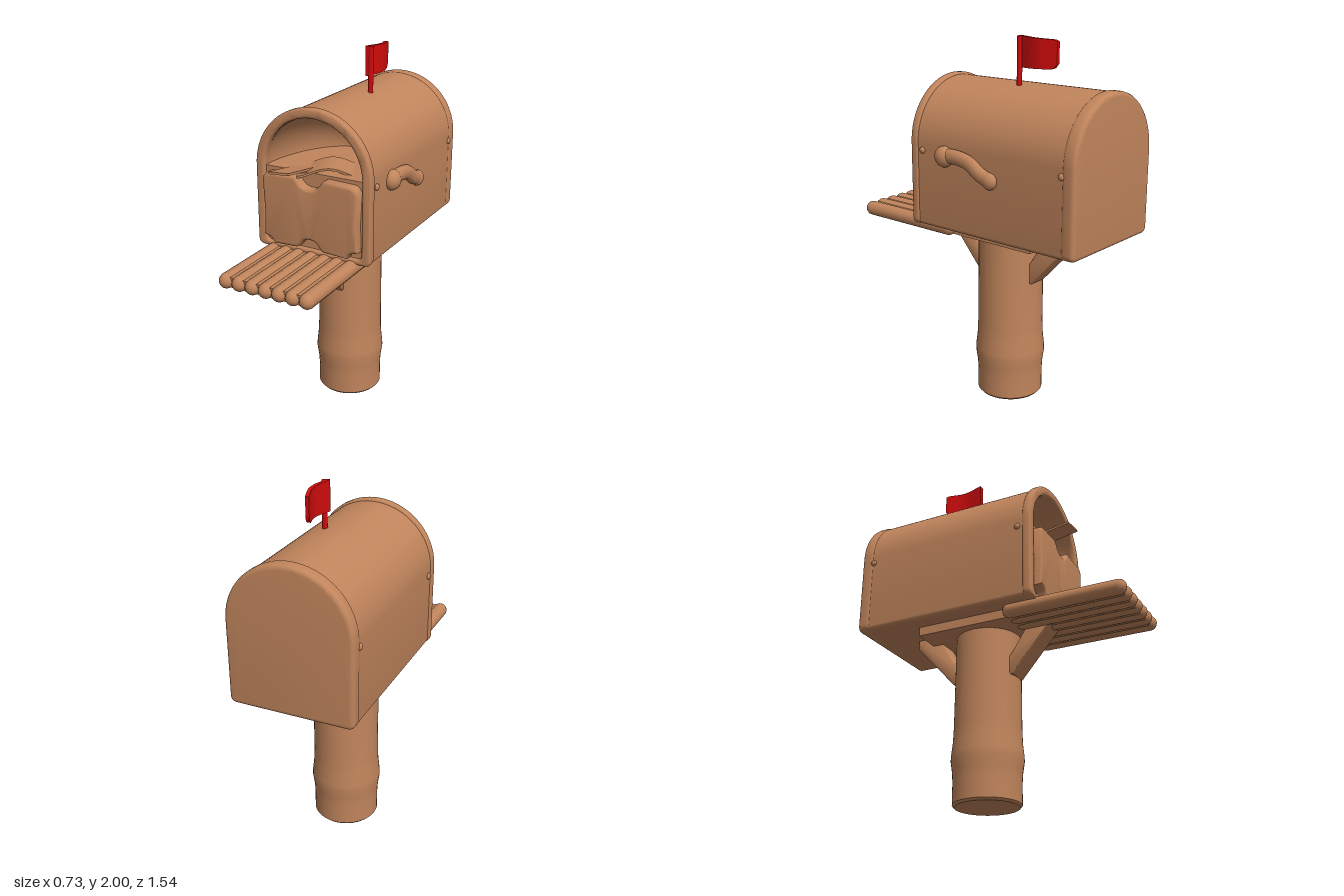
import * as THREE from 'three';
import { toCreasedNormals } from 'three/addons/utils/BufferGeometryUtils.js';

const CX = -0.022; // centre line of box and post

const brown = new THREE.MeshStandardMaterial({ color: 0xc1855c, side: THREE.DoubleSide });
brown.name = 'clay brown';
const red = new THREE.MeshStandardMaterial({ color: 0xd00c0c });
red.name = 'flag red';

// Round-topped outline: half width, bottom, spring line, top, corner radius
function arch(Type, w, bottom, spring, top, r) {
  const s = new Type();
  s.moveTo(-w + r, bottom);
  s.lineTo(w - r, bottom);
  s.quadraticCurveTo(w, bottom, w, bottom + r);
  s.lineTo(w, spring);
  s.absellipse(0, spring, w, top - spring, 0, Math.PI, false);
  s.lineTo(-w, bottom + r);
  s.quadraticCurveTo(-w, bottom, -w + r, bottom);
  return s;
}

// Extrude from z0 to z1 (bevel included)
function slab(shape, z0, z1, bevel = 0) {
  const g = new THREE.ExtrudeGeometry(shape, {
    depth: z1 - z0 - 2 * bevel, curveSegments: 24, bevelEnabled: bevel > 0,
    bevelThickness: bevel, bevelSize: bevel, bevelOffset: -bevel, bevelSegments: 4,
  });
  g.translate(0, 0, z0 + bevel);
  return toCreasedNormals(g, 0.6);
}

export function createModel() {
  const model = new THREE.Group();
  const add = (name, geo, mat, x = 0, y = 0, z = 0) => {
    const m = new THREE.Mesh(geo, mat);
    m.name = name;
    m.position.set(x, y, z);
    model.add(m);
    return m;
  };

  // Post with a soft bulge near the foot
  const profile = [[0, 0], [0.17, 0], [0.181, 0.012], [0.181, 0.13], [0.184, 0.18], [0.193, 0.24],
    [0.192, 0.27], [0.184, 0.34], [0.181, 0.42], [0.178, 0.95], [0, 0.95]];
  const post = new THREE.LatheGeometry(profile.map(p => new THREE.Vector2(...p)), 40);
  add('post', toCreasedNormals(post, 0.6), brown, CX, 0, -0.12);

  // Hollow box shell
  const shell = arch(THREE.Shape, 0.333, 0.98, 1.43, 1.758, 0.03);
  shell.holes.push(arch(THREE.Path, 0.29, 1.01, 1.43, 1.72, 0.03));
  add('boxShell', slab(shell, -0.72, 0.27), brown, CX);

  // Thick front rim around the opening
  const rim = arch(THREE.Shape, 0.341, 0.978, 1.43, 1.77, 0.04);
  rim.holes.push(arch(THREE.Path, 0.288, 1.01, 1.43, 1.718, 0.03));
  add('frontRim', slab(rim, 0.245, 0.295, 0.014), brown, CX);

  // Closed back with rounded edge
  add('backPanel', slab(arch(THREE.Shape, 0.338, 0.979, 1.43, 1.764, 0.04), -0.768, -0.69, 0.022), brown, CX);

  // Vaulted inside above the contents
  const vault = new THREE.SphereGeometry(1, 36, 12, Math.PI, -Math.PI, 0, Math.PI / 2);
  vault.scale(0.291, 0.291, 0.5);
  add('insideVault', new THREE.SphereGeometry(1, 36, 14, 0, Math.PI, 0, Math.PI / 2)
    .scale(0.291, 0.291, 0.5).rotateY(Math.PI), brown, CX, 1.43, 0.27);
  add('contentsBlock', new THREE.BoxGeometry(0.585, 0.43, 0.96), brown, CX, 1.215, -0.205);

  // Parcel with scooped top, bottom and clipped corners
  const parcel = new THREE.Shape();
  parcel.moveTo(-0.22, 1.015);
  parcel.lineTo(-0.09, 1.02);
  parcel.bezierCurveTo(-0.05, 1.02, -0.06, 1.075, 0, 1.075);
  parcel.bezierCurveTo(0.06, 1.075, 0.05, 1.02, 0.09, 1.02);
  parcel.lineTo(0.22, 1.015);
  parcel.quadraticCurveTo(0.23, 1.05, 0.28, 1.055);
  parcel.lineTo(0.275, 1.2);
  parcel.lineTo(0.283, 1.37);
  parcel.quadraticCurveTo(0.275, 1.41, 0.23, 1.41);
  parcel.lineTo(0.09, 1.415);
  parcel.bezierCurveTo(0.06, 1.40, 0.06, 1.355, 0, 1.355);
  parcel.bezierCurveTo(-0.06, 1.355, -0.06, 1.40, -0.09, 1.415);
  parcel.lineTo(-0.23, 1.41);
  parcel.quadraticCurveTo(-0.275, 1.41, -0.283, 1.37);
  parcel.lineTo(-0.275, 1.2);
  parcel.lineTo(-0.28, 1.055);
  parcel.quadraticCurveTo(-0.23, 1.05, -0.22, 1.015);
  add('parcel', slab(parcel, 0.2, 0.33, 0.018), brown, CX);

  // Letter poking out, and a curled sheet behind it
  const letter = add('letter', new THREE.BoxGeometry(0.12, 0.012, 0.34), brown, -0.12, 1.435, 0.273);
  letter.rotation.set(-0.14, -0.04, 0.08);
  const sheet = new THREE.BoxGeometry(0.34, 0.012, 0.2, 14, 1, 1);
  const sp = sheet.attributes.position;
  for (let i = 0; i < sp.count; i++) sp.setY(i, sp.getY(i) + 0.025 * Math.cos(sp.getX(i) * 16));
  sheet.computeVertexNormals();
  add('curledSheet', sheet, brown, 0.02, 1.43, 0.16).rotation.y = 0.4;

  // Ledge of seven round slats, with a filler between them
  for (let i = 0; i < 7; i++) {
    const slat = new THREE.CapsuleGeometry(0.041, 0.6, 6, 14);
    slat.rotateX(Math.PI / 2);
    add('ledgeSlat' + (i + 1), slat, brown, -0.262 + i * 0.0785, 0.959, 0.428);
  }
  add('ledgeCore', new THREE.BoxGeometry(0.5, 0.055, 0.62), brown, -0.027, 0.959, 0.43);
  add('underBoard', new THREE.BoxGeometry(0.46, 0.06, 0.58), brown, CX, 0.96, -0.14);

  // Slanted braces, outlined in z and y
  const braces = {
    frontBrace: [[0, 0.68], [0.06, 0.68], [0.28, 0.935], [0.14, 0.935], [0.06, 0.81], [0, 0.74]],
    backBrace: [[-0.24, 0.68], [-0.30, 0.68], [-0.53, 0.93], [-0.53, 0.982], [-0.38, 0.982], [-0.37, 0.93], [-0.30, 0.81], [-0.24, 0.74]],
  };
  for (const [name, pts] of Object.entries(braces)) {
    const g = slab(new THREE.Shape(pts.map(p => new THREE.Vector2(...p))), 0, 0.125, 0.008);
    g.rotateY(-Math.PI / 2);
    add(name, g, brown, 0.03);
  }

  // Side handle with a round pivot
  const path = new THREE.CatmullRomCurve3([[0.07, 1.388], [-0.03, 1.393], [-0.12, 1.375], [-0.19, 1.33], [-0.255, 1.305]]
    .map(([z, y]) => new THREE.Vector3(0, y, z)));
  const bar = new THREE.TubeGeometry(path, 24, 0.04, 12);
  bar.scale(0.75, 1, 1);
  add('handleBar', bar, brown, 0.32);
  add('handlePivot', new THREE.SphereGeometry(0.056, 20, 14).scale(0.8, 1, 1), brown, 0.318, 1.385, 0.052);
  add('handleTip', new THREE.SphereGeometry(0.044, 18, 12).scale(0.75, 1, 1), brown, 0.32, 1.303, -0.255);

  // Small rivets by the rims
  for (const z of [0.215, -0.69]) for (const side of [-1, 1])
    add('rivet', new THREE.SphereGeometry(0.018, 12, 8).scale(0.7, 1, 1), brown, CX + side * 0.334, 1.395, z);

  // Flag staff and wavy flag
  const wave = z => 0.038 + 0.012 * Math.sin((z + 0.26) * -22) + Math.min(0, z + 0.36) * 0.06;
  const staff = new THREE.CylinderGeometry(0.014, 0.014, 0.26, 12);
  add('flagStaff', staff, red, 0.043, 1.868, -0.222);
  const flag = new THREE.BoxGeometry(0.02, 1, 1, 1, 6, 16);
  const p = flag.attributes.position;
  for (let i = 0; i < p.count; i++) {
    const t = 0.5 - p.getZ(i), v = p.getY(i) + 0.5;
    const z = -0.21 - 0.238 * t;
    const tip = Math.max(0, (t - 0.88) / 0.12);
    const low = 1.84 + 0.006 * t + 0.028 * tip * tip;
    const high = 2 - 0.01 * t - 0.008 * tip * tip;
    p.setXYZ(i, p.getX(i) + wave(z), low + (high - low) * v, z);
  }
  add('flag', toCreasedNormals(flag, 0.7), red);

  return model;
}
